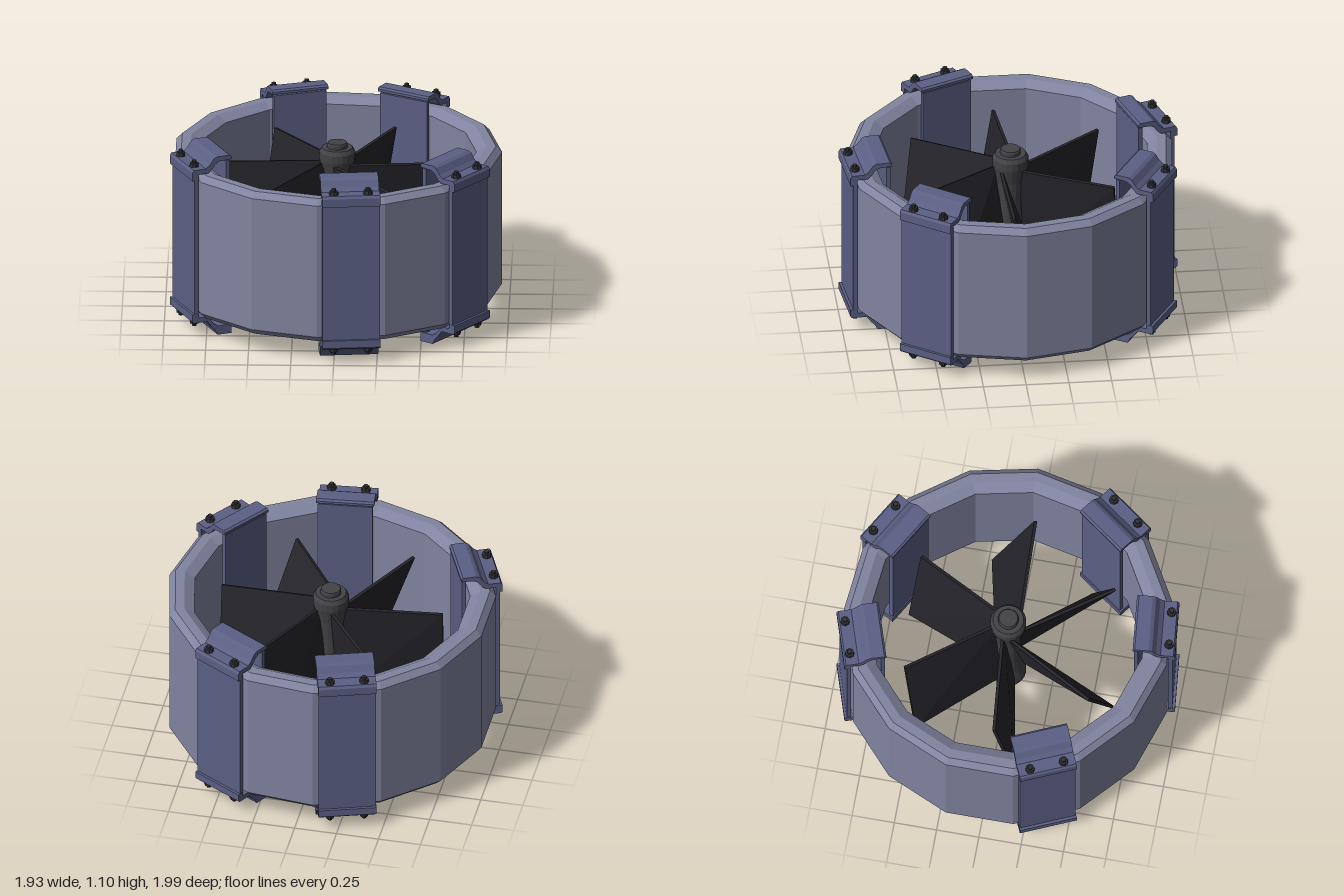
import * as THREE from 'three';

const mat = (color) => new THREE.MeshStandardMaterial({ color, flatShading: true });
const ringMat = mat(0x8184a0), clampMat = mat(0x5b6084), bladeMat = mat(0x25252b);
const hubMat = mat(0x434347), boltMat = mat(0x333336);
const rad = THREE.MathUtils.degToRad;
const MID = 0.555; // height of the mirror plane

function add(parent, name, geometry, material, x = 0, y = 0, z = 0) {
  const mesh = new THREE.Mesh(geometry, material);
  mesh.name = name;
  mesh.position.set(x, y, z);
  parent.add(mesh);
  return mesh;
}

// Solid of revolution around y from [radius, y] pairs
function lathe(points, sides) {
  return new THREE.LatheGeometry(points.map((p) => new THREE.Vector2(...p)), sides, Math.PI / 2);
}

// Extrude a radial [r, y] profile along the tangent, centred
function bar(points, width) {
  const shape = new THREE.Shape(points.map((p) => new THREE.Vector2(...p)));
  const geo = new THREE.ExtrudeGeometry(shape, { depth: width, bevelEnabled: false });
  return geo.translate(0, 0, -width / 2);
}

// Clamp: local x points outwards, z runs along the ring
function makeClamp(angle) {
  const clamp = new THREE.Group();
  clamp.name = 'clamp';
  clamp.rotation.y = angle;
  add(clamp, 'outerPlate', new THREE.BoxGeometry(0.025, 0.9, 0.335), clampMat, 0.957, MID + 0.01, 0);
  add(clamp, 'innerPlate', new THREE.BoxGeometry(0.025, 1.02, 0.32), clampMat, 0.757, MID, 0);

  const cap = [
    [0.985, 0.97], [0.985, 1.02], [0.975, 1.035], [0.9, 1.035], [0.875, 1.055],
    [0.85, 1.09], [0.83, 1.1], [0.75, 1.1], [0.738, 1.09], [0.738, 1.075],
    [0.815, 1.07], [0.84, 1.055], [0.86, 1.025], [0.885, 1.005], [0.945, 1.005], [0.945, 0.97],
  ];
  const foot = [
    [0.985, 0.145], [0.945, 0.145], [0.945, 0.12], [0.885, 0.12], [0.85, 0.07],
    [0.825, 0.055], [0.738, 0.055], [0.738, 0], [0.825, 0], [0.84, 0.03], [0.86, 0.05],
    [0.89, 0.09], [0.975, 0.09], [0.985, 0.1],
  ];
  add(clamp, 'topBracket', bar(cap, 0.34), clampMat);
  add(clamp, 'bottomBracket', bar(foot, 0.34), clampMat);

  // Two bolts above and two below
  for (const up of [1, -1]) {
    for (const side of [1, -1]) {
      const bolt = new THREE.Group();
      bolt.name = 'bolt';
      bolt.position.set(0.945, up > 0 ? 1.035 : 0.09, side * 0.1);
      if (up < 0) bolt.rotation.x = Math.PI;
      add(bolt, 'boltHead', new THREE.CylinderGeometry(0.026, 0.028, 0.022, 8), boltMat, 0, 0.011, 0);
      add(bolt, 'boltTip', new THREE.CylinderGeometry(0.014, 0.015, 0.018, 8), boltMat, 0, 0.029, 0);
      clamp.add(bolt);
    }
  }
  return clamp;
}

// Pitched blade: a thin slab whose top edge and bottom edge lie at different bearings
function bladeGeometry(topAngle, bottomAngle) {
  const at = (r, a, y) => new THREE.Vector3(r * Math.cos(a), y, -r * Math.sin(a));
  const middle = (topAngle + bottomAngle) / 2;
  const tipTop = at(0.66, topAngle, 0.91), tipLow = at(0.66, bottomAngle, 0.21);
  const root = at(0.05, middle, 0);
  // Root keeps about half of the tip's sideways spread
  const spread = tipTop.clone().sub(tipLow).setY(0).multiplyScalar(0.27);
  const rootTop = root.clone().add(spread).setY(0.9);
  const rootLow = root.clone().sub(spread).setY(0.22);

  const across = tipTop.clone().sub(tipLow);
  const along = at(1, middle, 0);
  const normal = across.cross(along).normalize().multiplyScalar(0.009);
  const corners = [rootLow, tipLow, rootTop, tipTop];

  const geo = new THREE.BoxGeometry(2, 2, 2);
  const pos = geo.attributes.position;
  for (let i = 0; i < pos.count; i++) {
    const corner = corners[(pos.getX(i) > 0 ? 1 : 0) + (pos.getY(i) > 0 ? 2 : 0)];
    const v = corner.clone().addScaledVector(normal, -pos.getZ(i));
    pos.setXYZ(i, v.x, v.y, v.z);
  }
  geo.computeVertexNormals();
  return geo;
}

export function createModel() {
  const model = new THREE.Group();
  model.name = 'ductedFan';
  const body = new THREE.Group();
  body.name = 'fanBody';
  body.position.z = -0.008;
  model.add(body);

  // Fifteen-sided duct with bevelled rims
  add(body, 'ductRing', lathe([
    [0.925, 0.12], [0.96, 0.155], [0.96, 0.965], [0.925, 1.0], [0.87, 1.0], [0.81, 0.965],
    [0.81, 0.155], [0.87, 0.12], [0.925, 0.12],
  ], 15), ringMat);

  // Clamps sit on the middles of five of the duct's sides
  for (const deg of [-84, -36, 60, 108, 204]) body.add(makeClamp(rad(deg)));

  // Hub with a flared collar and a cap at each end
  add(body, 'hub', lathe([
    [0, 0.11], [0.055, 0.11], [0.06, 0.12], [0.06, 0.135], [0.09, 0.135], [0.105, 0.155],
    [0.105, 0.2], [0.085, 0.3], [0.075, 0.42], [0.075, 0.7], [0.085, 0.82], [0.105, 0.92],
    [0.105, 0.965], [0.09, 0.99], [0.06, 0.99], [0.06, 1.01], [0.055, 1.02], [0, 1.02],
  ], 20), hubMat);

  // Six blades: bearing of top edge and bottom edge, in degrees
  for (const [top, low] of [[-3.7, 18], [60.3, 71], [124, 135], [183, 193], [235.4, 257.5], [299.6, 322]]) {
    add(body, 'blade', bladeGeometry(rad(top), rad(low)), bladeMat);
  }
  return model;
}
